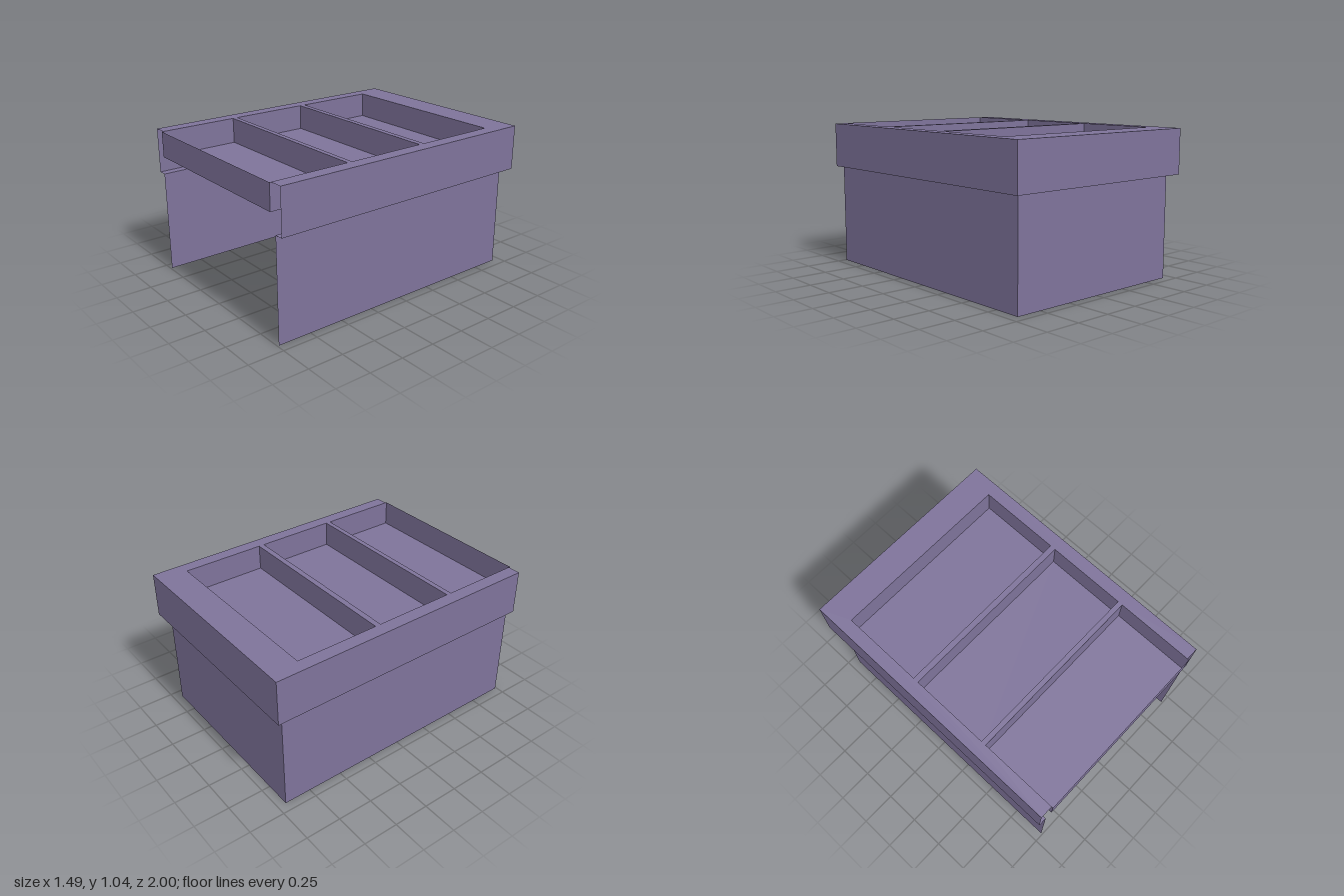
import * as THREE from 'three';

const TOP = 1.04, RIM = 0.725, TRAY = 0.86;   // heights
const FRONT = 0.99;                            // open front edge of the shell
const OUT = { x: 0.745, z: -1 };               // outer rim
const BODY = { x: 0.685, z: -0.94 };           // lower body
const TRAY_X = 0.653;
const TRAYS = [[-0.79, -0.205], [-0.165, 0.4], [0.435, 1]];

export function createModel() {
  const model = new THREE.Group();
  const purple = new THREE.MeshStandardMaterial({ color: 0x7e739a, side: THREE.DoubleSide });
  purple.name = 'dusty purple';

  const add = (parent, name, geometry) => {
    const mesh = new THREE.Mesh(geometry, purple);
    mesh.name = name;
    parent.add(mesh);
    return mesh;
  };

  // Upright sheet facing z
  const crossWall = (parent, name, halfX, y0, y1, z, back) => {
    const g = new THREE.PlaneGeometry(halfX * 2, y1 - y0);
    if (back) g.rotateY(Math.PI);
    add(parent, name, g).position.set(0, (y0 + y1) / 2, z);
  };

  // Mirrored pair of upright sheets facing outward along x
  const sideWalls = (parent, name, halfX, y0, y1, z0, z1) => {
    for (const s of [-1, 1]) {
      const g = new THREE.PlaneGeometry(z1 - z0, y1 - y0).rotateY(s * Math.PI / 2);
      add(parent, (s < 0 ? 'right' : 'left') + name, g)
        .position.set(s * halfX, (y0 + y1) / 2, (z0 + z1) / 2);
    }
  };

  // Level sheet from [x, z] corners, with optional holes
  const sheet = (parent, name, points, y, holes = [], down = false) => {
    const toVec = (p) => p.map(([x, z]) => new THREE.Vector2(x, down ? z : -z));
    const shape = new THREE.Shape(toVec(points));
    for (const h of holes) shape.holes.push(new THREE.Path(toVec(h)));
    const g = new THREE.ShapeGeometry(shape).rotateX(down ? Math.PI / 2 : -Math.PI / 2);
    add(parent, name, g).position.y = y;
  };

  const rect = (x, z0, z1) => [[-x, z1], [x, z1], [x, z0], [-x, z0]];
  // U-shaped outline open at the front
  const uShape = (o, ix, iz) => [[-o.x, FRONT], [-ix, FRONT], [-ix, iz], [ix, iz],
    [ix, FRONT], [o.x, FRONT], [o.x, o.z], [-o.x, o.z]];

  // Lower body: two sides and a back, open in front and below
  const body = new THREE.Group();
  body.name = 'body';
  sideWalls(body, 'BodyWall', BODY.x, 0, RIM, BODY.z, FRONT);
  crossWall(body, 'backBodyWall', BODY.x, 0, RIM, BODY.z, true);

  // Overhanging rim with its underside ledge and top frame
  const rim = new THREE.Group();
  rim.name = 'rim';
  sideWalls(rim, 'RimWall', OUT.x, RIM, TOP, OUT.z, FRONT);
  crossWall(rim, 'backRimWall', OUT.x, RIM, TOP, OUT.z, true);
  sheet(rim, 'ledge', uShape(OUT, BODY.x, BODY.z), RIM, [], true);
  sheet(rim, 'topFrame', uShape(OUT, TRAY_X, TRAYS[2][0]), TOP,
    TRAYS.slice(0, 2).map(([z0, z1]) => rect(TRAY_X, z0, z1)));

  // Three sunken trays
  TRAYS.forEach(([z0, z1], i) => {
    const tray = new THREE.Group();
    tray.name = ['backTray', 'middleTray', 'frontTray'][i];
    sheet(tray, 'trayFloor', rect(TRAY_X, z0, z1), TRAY);
    sideWalls(tray, 'TrayWall', TRAY_X, TRAY, TOP, z0, z1);
    crossWall(tray, 'backTrayWall', TRAY_X, TRAY, TOP, z0, true);
    crossWall(tray, 'frontTrayWall', TRAY_X, TRAY, TOP, z1, false);
    model.add(tray);
  });

  model.add(body, rim);
  return model;
}
